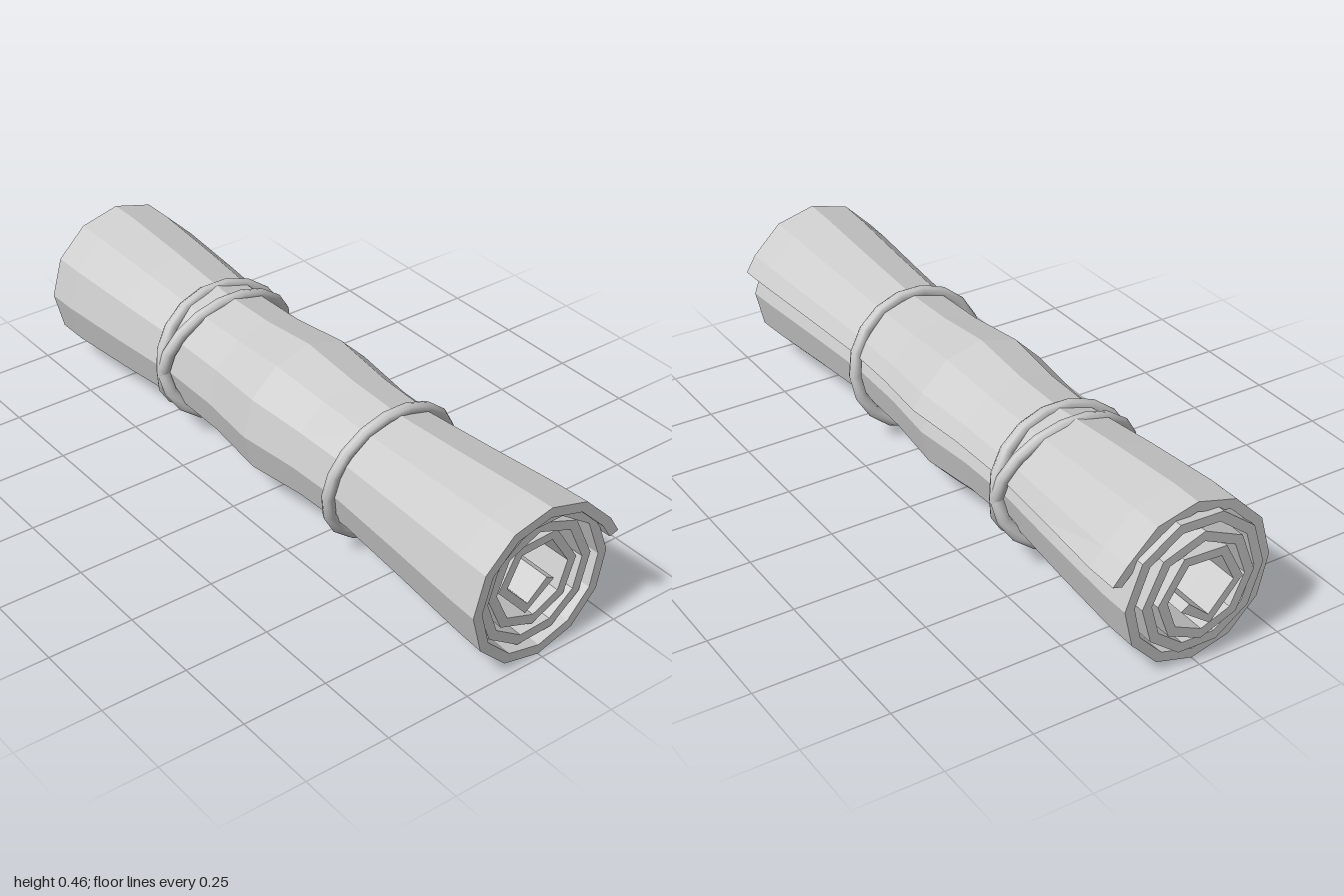
import * as THREE from 'three';

const CENTER_Y = 0.237;
const HALF_THICK = 0.0145;

// Spiral stations in degrees: more facets on each outer turn, ending at the loose edge
function spiralAngles() {
  const list = [30, 102];
  let a = 180;
  for (const facets of [6, 8, 10, 12]) {
    const stop = list.length < 3 ? 360 : a + 360;
    while (a < stop - 1 && a < 1420) {
      list.push(a);
      a += 360 / facets;
    }
    a = stop;
  }
  return [...list, 1424];
}

// Waisted profile: narrow under the cords, wider in the middle and at the ends
const PROFILE = [[-1, 1], [-0.9, 1], [-0.65, 0.93], [-0.4, 0.84], [-0.2, 0.855],
  [0, 0.94], [0.2, 0.855], [0.4, 0.83], [0.65, 0.9], [0.9, 0.98], [1, 1]];

function rolledSheet() {
  const angles = spiralAngles();
  const last = angles.length - 1;
  const cols = PROFILE.length - 1;

  // Point on the sheet: i along the spiral, j along the length, side -1 inside / +1 outside
  const point = (i, j, side) => {
    const deg = angles[i];
    const a = -THREE.MathUtils.degToRad(deg);
    const [u, scale] = PROFILE[j];
    let r = Math.min(0.22, 0.085 + 0.12 * deg / 1080);
    if (i === 0) r = 0.066;
    if (i === last) r += 0.008 + (u < -0.8 ? 0.01 : 0);
    r = (r + side * HALF_THICK) * scale;
    const drift = 0.05 * Math.pow(deg / 1424, 2);
    const x = u * 0.975 - 0.025 + drift;
    return [x, CENTER_Y + r * Math.sin(a), -r * Math.cos(a)];
  };

  const pos = [];
  const quad = (a, b, c, d) => pos.push(...a, ...b, ...c, ...a, ...c, ...d);
  for (let i = 0; i < last; i++) {
    for (let j = 0; j < cols; j++) {
      quad(point(i, j, 1), point(i, j + 1, 1), point(i + 1, j + 1, 1), point(i + 1, j, 1));
      quad(point(i, j, -1), point(i + 1, j, -1), point(i + 1, j + 1, -1), point(i, j + 1, -1));
    }
    // Spiral rims at both ends
    quad(point(i, cols, -1), point(i + 1, cols, -1), point(i + 1, cols, 1), point(i, cols, 1));
    quad(point(i, 0, -1), point(i, 0, 1), point(i + 1, 0, 1), point(i + 1, 0, -1));
  }
  // Long inner and outer edges
  for (let j = 0; j < cols; j++) {
    quad(point(0, j, -1), point(0, j + 1, -1), point(0, j + 1, 1), point(0, j, 1));
    quad(point(last, j, -1), point(last, j, 1), point(last, j + 1, 1), point(last, j + 1, -1));
  }
  const geo = new THREE.BufferGeometry();
  geo.setAttribute('position', new THREE.Float32BufferAttribute(pos, 3));
  geo.computeVertexNormals(); // unshared corners give flat facets
  return geo;
}

export function createModel() {
  const group = new THREE.Group();
  group.name = 'rolledScroll';
  const grey = new THREE.MeshStandardMaterial({ color: 0xcccccc });
  grey.name = 'pale grey';

  const sheet = new THREE.Mesh(rolledSheet(), grey);
  sheet.name = 'rolledSheet';
  group.add(sheet);

  // Tying cords: a crossed pair on one side, a single loop on the other
  const cord = (name, x, y, radius, depth, tilt) => {
    const geo = new THREE.TorusGeometry(radius, 0.018, 8, 18);
    geo.rotateY(Math.PI / 2);
    geo.scale(1, 1, depth);
    const mesh = new THREE.Mesh(geo, grey);
    mesh.name = name;
    mesh.position.set(x, y, 0);
    mesh.rotation.z = tilt;
    group.add(mesh);
  };
  cord('crossedCordA', -0.39, 0.242, 0.19, 1.13, 0.22);
  cord('crossedCordB', -0.39, 0.242, 0.19, 1.13, -0.22);
  cord('singleCord', 0.375, 0.235, 0.2, 1.03, -0.13);

  return group;
}
